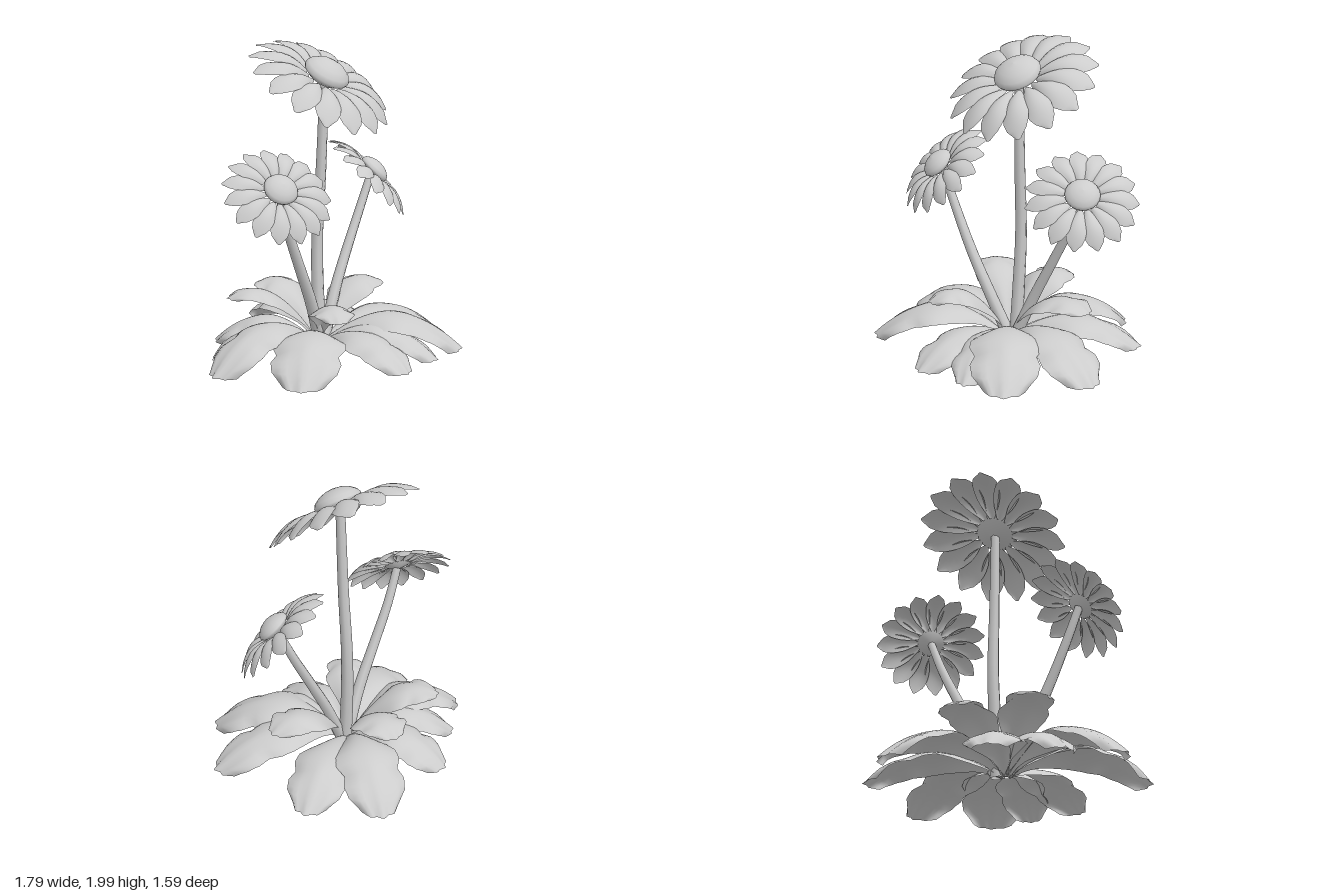
import * as THREE from 'three';

const grey = new THREE.MeshStandardMaterial({ color: 0xcccccc, side: THREE.DoubleSide });
grey.name = 'light grey';

// Thin curved sheet from a rule: t runs along its length (0..1), v across (-1..1)
function sheet(nt, nv, rule) {
  const pos = [], idx = [];
  for (let i = 0; i <= nt; i++)
    for (let j = 0; j <= nv; j++) pos.push(...rule(i / nt, (j / nv) * 2 - 1));
  for (let i = 0; i < nt; i++)
    for (let j = 0; j < nv; j++) {
      const a = i * (nv + 1) + j, b = a + nv + 1;
      idx.push(a, b, a + 1, b, b + 1, a + 1);
    }
  const g = new THREE.BufferGeometry();
  g.setAttribute('position', new THREE.Float32BufferAttribute(pos, 3));
  g.setIndex(idx);
  g.computeVertexNormals();
  return g;
}

// Linear lookup in an evenly spaced profile
function sample(profile, t) {
  const f = t * (profile.length - 1), i = Math.min(Math.floor(f), profile.length - 2);
  return THREE.MathUtils.lerp(profile[i], profile[i + 1], f - i);
}

function addMesh(parent, name, geometry) {
  const m = new THREE.Mesh(geometry, grey);
  m.name = name;
  parent.add(m);
  return m;
}

// Petal for a head of outer radius 0.5, lying along +z
const petalWidth = [0.016, 0.038, 0.06, 0.076, 0.084, 0.087, 0.083, 0.066, 0.018];
const petalGeometry = sheet(16, 6, (t, v) => {
  const w = sample(petalWidth, t);
  return [
    v * w,
    -0.035 - 0.075 * t * t + 0.05 * Math.sin(Math.PI * t) - 0.035 * v * v * Math.sin(Math.PI * Math.min(1, t + 0.1)),
    0.12 + 0.38 * t - 0.012 * v * v * t,
  ];
});

// Domed centre with a shallow cup beneath it
const discGeometry = new THREE.LatheGeometry(
  [[0, -0.075], [0.05, -0.065], [0.11, -0.04], [0.148, -0.012], [0.155, 0.006], [0.14, 0.035], [0.1, 0.064], [0.05, 0.082], [0, 0.088]]
    .map(([x, y]) => new THREE.Vector2(x, y)), 20);

function flowerHead(name, centre, normal, scale) {
  const head = new THREE.Group();
  head.name = name;
  addMesh(head, 'flowerCentre', discGeometry);
  const count = 15;
  for (let i = 0; i < count; i++) {
    const petal = addMesh(head, 'petal', petalGeometry);
    petal.rotation.set(0, ((i + 0.1) / count) * Math.PI * 2, 0.12);
  }
  head.position.set(...centre);
  head.quaternion.setFromUnitVectors(new THREE.Vector3(0, 1, 0), new THREE.Vector3(...normal).normalize());
  head.scale.setScalar(scale);
  return head;
}

// Tapered stem following a curve
function stemGeometry(points, r0, r1) {
  const curve = new THREE.CatmullRomCurve3(points.map((p) => new THREE.Vector3(...p)));
  const rows = 14, sides = 8;
  const g = new THREE.TubeGeometry(curve, rows, 1, sides, false);
  const p = g.attributes.position, v = new THREE.Vector3();
  for (let i = 0; i < p.count; i++) {
    const t = Math.floor(i / (sides + 1)) / rows, c = curve.getPointAt(t);
    v.fromBufferAttribute(p, i).sub(c).multiplyScalar(THREE.MathUtils.lerp(r0, r1, t)).add(c);
    p.setXYZ(i, v.x, v.y, v.z);
  }
  return g;
}

// Arched, lobed leaf reaching from the rosette's middle to its tip
const leafWidth = [0.12, 0.18, 0.32, 0.54, 0.78, 0.97, 1, 0.84, 0.95, 0.88, 0.55];
function leafGeometry(length, half, baseY, tipY, arch) {
  return sheet(20, 12, (t, v) => {
    const ripple = 0.008 * Math.sin(t * 16) * v * v * t;
    const y = baseY * (1 - t) + tipY * t + 4 * arch * t * (1 - t) - 0.07 * v * v * Math.sin(Math.PI * t) + ripple;
    const tipCurve = (0.09 * v * v + 0.025 * (1 - Math.cos(v * Math.PI * 3)) / 2) * t * t;
    return [v * half * sample(leafWidth, t), Math.max(0, y), 0.02 + (length - 0.02) * (t - tipCurve)];
  });
}

export function createModel() {
  const model = new THREE.Group();
  model.name = 'flowerPlant';

  // Three flowers: head centre, facing direction, size, stem path and thickness
  const flowers = [
    ['middleFlower', [0.075, 1.815, 0.008], [0, 0.84, 0.54], 1,
      [[0.045, 0.05, -0.02], [0.05, 0.4, -0.045], [0.06, 0.75, -0.055], [0.067, 1.2, -0.03], [0.073, 1.77, -0.01]], 0.044, 0.03],
    ['rightFlower', [-0.517, 1.16, 0.085], [-0.33, 0.7, 0.63], 0.71,
      [[-0.01, 0.08, 0.01], [-0.14, 0.35, 0.04], [-0.27, 0.6, 0.05], [-0.41, 0.9, 0.05], [-0.5, 1.13, 0.06]], 0.042, 0.027],
    ['leftFlower', [0.592, 1.12, 0.035], [0.43, 0.71, 0.55], 0.72,
      [[0.07, 0.08, 0], [0.2, 0.36, -0.01], [0.33, 0.6, -0.01], [0.47, 0.86, 0], [0.575, 1.09, 0.02]], 0.042, 0.027],
  ];
  for (const [name, centre, normal, scale, path, r0, r1] of flowers) {
    model.add(flowerHead(name, centre, normal, scale));
    addMesh(model, name + 'Stem', stemGeometry(path, r0, r1));
  }

  // Lower leaves arch down to the ground: tip x, tip z, half width, arch height
  const lower = [
    [-0.9, -0.16, 0.2, 0.23], [-0.8, 0.44, 0.23, 0.21], [-0.13, 0.78, 0.18, 0.16], [0.23, 0.78, 0.16, 0.17],
    [0.54, 0.78, 0.23, 0.22], [0.89, 0.34, 0.21, 0.2], [0.77, -0.43, 0.2, 0.17], [0.42, -0.79, 0.21, 0.22],
    [-0.25, -0.68, 0.19, 0.17], [-0.62, -0.4, 0.17, 0.18],
  ];
  for (const [x, z, w, arch] of lower) {
    const leaf = addMesh(model, 'lowerLeaf', leafGeometry(Math.hypot(x, z), w, 0.05, 0.01, arch));
    leaf.rotation.y = Math.atan2(x, z);
  }

  // Upper leaves lift outwards: tip x, tip y, tip z, half width
  const upper = [[0.65, 0.34, 0.02, 0.17], [0.1, 0.35, -0.57, 0.17], [-0.45, 0.38, -0.41, 0.16], [-0.35, 0.32, 0.41, 0.14]];
  for (const [x, y, z, w] of upper) {
    const leaf = addMesh(model, 'upperLeaf', leafGeometry(Math.hypot(x, z), w, 0.08, y, 0.17));
    leaf.rotation.y = Math.atan2(x, z);
  }
  return model;
}
